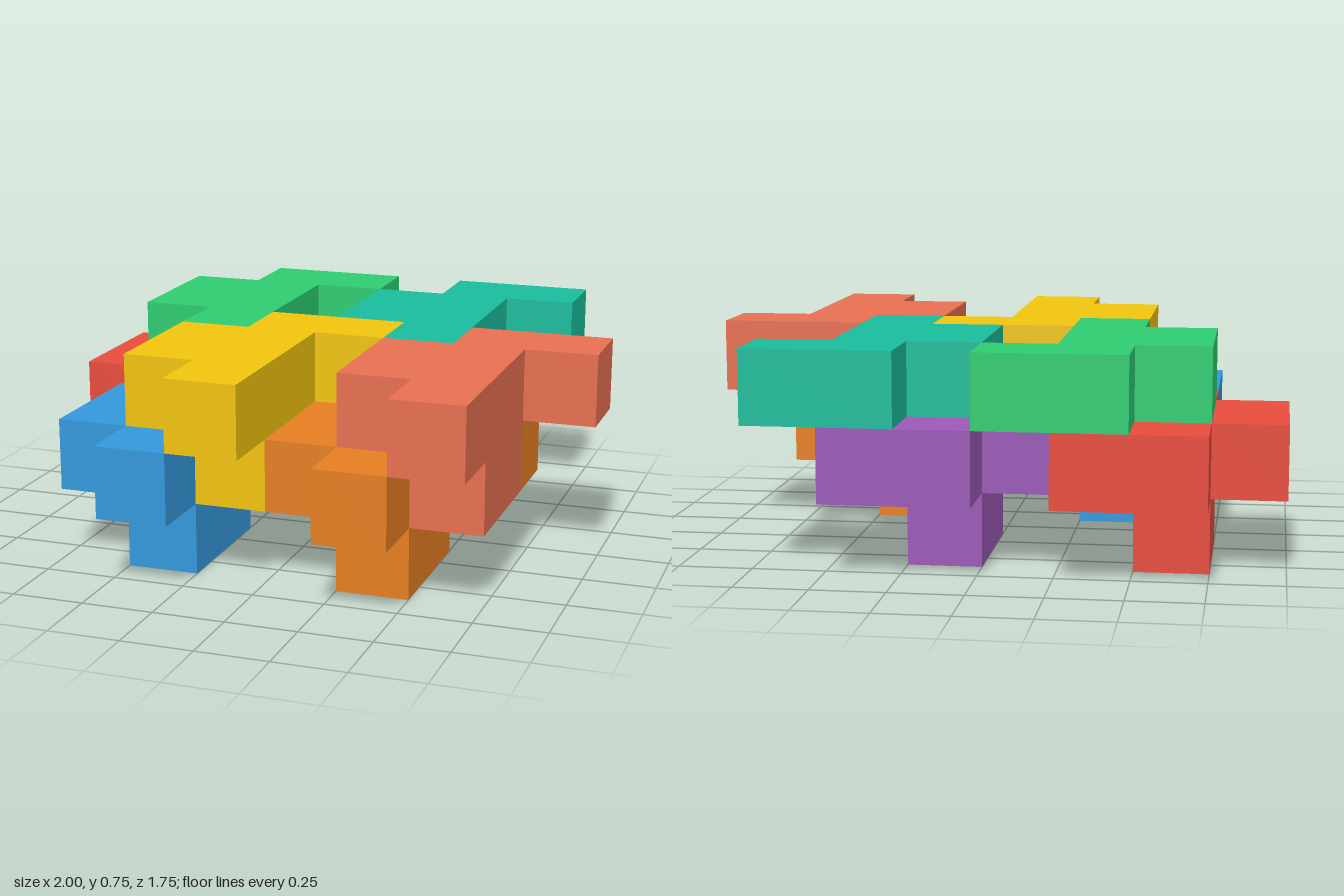
import * as THREE from 'three';

const U = 0.25; // edge of one cube cell

// Stepped slab outline in cells (x, z)
const OUTLINE = [[1, 0], [3, 0], [3, 1], [2, 1], [2, 4], [1, 4], [1, 3], [0, 3], [0, 1], [1, 1]];

// Interlocking pieces: all the same shape, placed by corner cell (x, z) and top level
const PIECES = [
  ['upperGreenPiece', 0x2ecc71, 1, 0, 3],
  ['upperTealPiece', 0x1abc9c, 4, 0, 3],
  ['upperYellowPiece', 0xf1c40f, 2, 3, 3],
  ['upperSalmonPiece', 0xe76f51, 5, 3, 3],
  ['lowerRedPiece', 0xe74c3c, 0, 0, 2],
  ['lowerPurplePiece', 0x9b59b6, 3, 0, 2],
  ['lowerBluePiece', 0x3498db, 1, 3, 2],
  ['lowerOrangePiece', 0xe67e22, 4, 3, 2],
];

export function createModel() {
  const model = new THREE.Group();
  model.name = 'interlockingTiles';

  // Slab hangs one cell below its local origin
  const shape = new THREE.Shape(OUTLINE.map(([x, z]) => new THREE.Vector2(x * U, z * U)));
  const slabGeometry = new THREE.ExtrudeGeometry(shape, { depth: U, bevelEnabled: false });
  slabGeometry.rotateX(Math.PI / 2);

  // Two-cell peg under the slab
  const pegGeometry = new THREE.BoxGeometry(U, U, 2 * U);
  pegGeometry.translate(1.5 * U, -1.5 * U, 2 * U);

  for (const [name, color, x, z, top] of PIECES) {
    const material = new THREE.MeshStandardMaterial({ color });
    const piece = new THREE.Group();
    piece.name = name;
    const slab = new THREE.Mesh(slabGeometry, material);
    slab.name = 'slab';
    const peg = new THREE.Mesh(pegGeometry, material);
    peg.name = 'peg';
    piece.add(slab, peg);
    piece.position.set((x - 4) * U, top * U, (z - 3.5) * U);
    model.add(piece);
  }
  return model;
}
